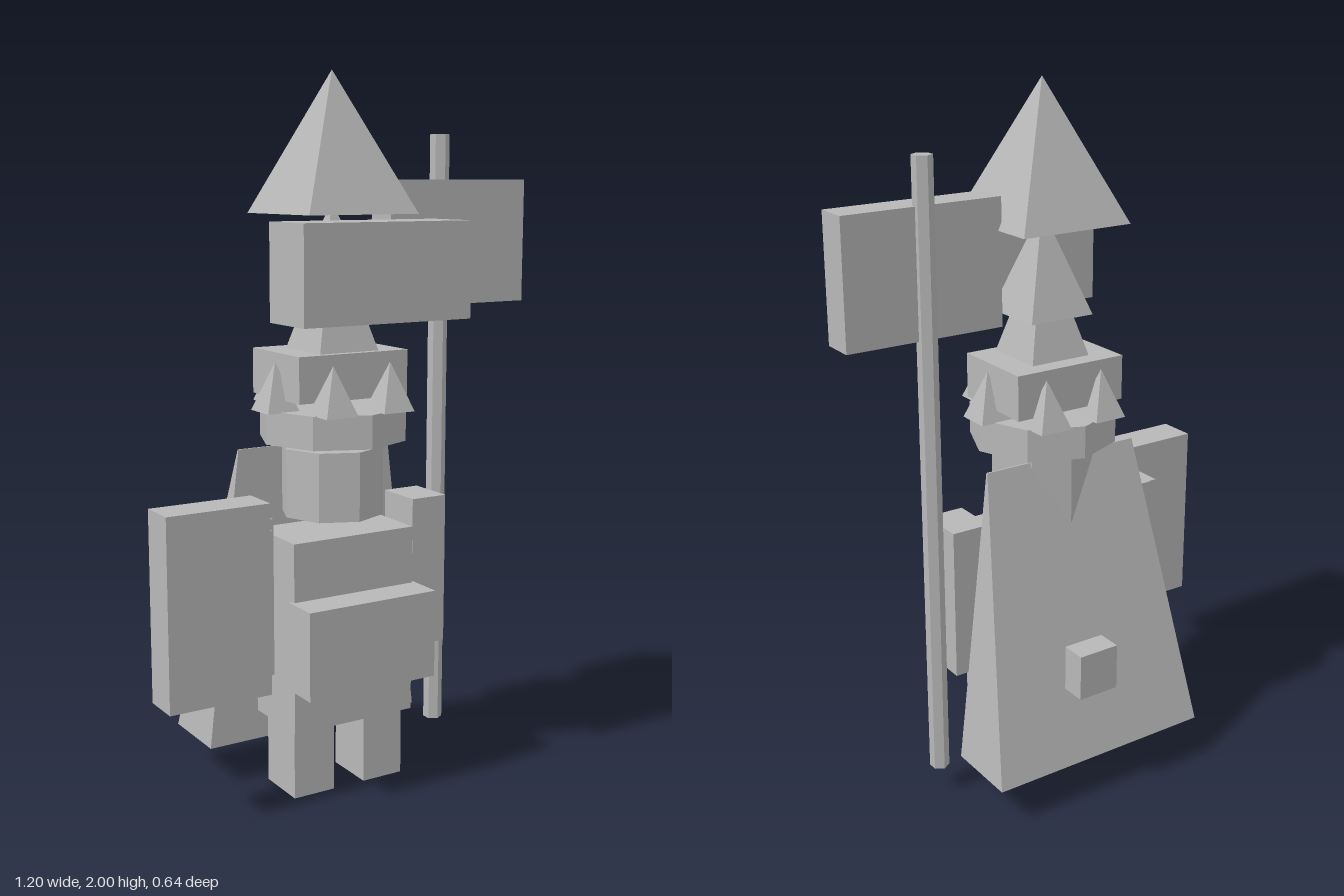
import * as THREE from 'three';

export function createModel() {
  const model = new THREE.Group();
  const grey = new THREE.MeshStandardMaterial({ color: 0xb8b8b8, flatShading: true });
  grey.name = 'stone grey';
  const CX = -0.021, CZ = 0.027; // axis of the figure

  const add = (name, geometry, x, y, z) => {
    const mesh = new THREE.Mesh(geometry, grey);
    mesh.name = name;
    mesh.position.set(x, y, z);
    model.add(mesh);
    return mesh;
  };
  // Box given by its limits on each axis
  const box = (name, [x0, x1], [y0, y1], [z0, z1]) =>
    add(name, new THREE.BoxGeometry(x1 - x0, y1 - y0, z1 - z0), (x0 + x1) / 2, (y0 + y1) / 2, (z0 + z1) / 2);
  // Square pyramid with sides along the axes
  const pyramid = (name, x, z, y0, y1, half) =>
    add(name, new THREE.ConeGeometry(half * Math.SQRT2, y1 - y0, 4).rotateY(Math.PI / 4), x, (y0 + y1) / 2, z);
  const prism = (name, radius, sides, x, z, y0, y1) =>
    add(name, new THREE.CylinderGeometry(radius, radius, y1 - y0, sides), x, (y0 + y1) / 2, z);

  // Legs and arms, mirrored about the body axis
  for (const [side, s] of [['left', 1], ['right', -1]]) {
    const leg = CX + s * 0.114, arm = CX + s * 0.285;
    box(side + 'Leg', [leg - 0.064, leg + 0.064], [0, 0.205], [-0.034, 0.12]);
    box(side + 'Arm', [arm - 0.057, arm + 0.057], [0.369, 0.809], [-0.047, 0.098]);
  }

  // Body
  box('torso', [-0.215, 0.17], [0.204, 0.745], [-0.066, 0.151]);
  box('bellyPlate', [-0.225, 0.18], [0.332, 0.581], [0.141, 0.252]);
  prism('head', 0.147, 8, CX, CZ, 0.788, 0.981);

  // Crown band with six spikes
  prism('crownBand', 0.21, 8, CX, CZ, 1.0, 1.093);
  for (let i = 0; i < 6; i++) {
    const a = i * Math.PI / 3;
    pyramid('crownSpike', CX + 0.18 * Math.cos(a), CZ + 0.18 * Math.sin(a), 1.091, 1.225, 0.049);
  }

  // Stacked headdress
  box('headdressBlock', [-0.191, 0.154], [1.122, 1.249], [-0.119, 0.141]);
  pyramid('lowerTier', CX, CZ, 1.249, 1.58, 0.093);
  pyramid('middleTier', CX, CZ, 1.366, 1.652, 0.1);
  pyramid('topTier', CX, CZ, 1.62, 2, 0.17);
  box('frontBlock', [-0.279, 0.234], [1.345, 1.605], [0.143, 0.32]);

  // Staff with a broad blade
  prism('staff', 0.028, 6, 0.37, -0.021, 0.082, 1.838);
  box('staffBlade', [0.139, 0.602], [1.36, 1.71], [-0.021, 0.077]);

  // Shield and its grip
  box('shield', [-0.602, -0.302], [0.347, 0.875], [0.07, 0.18]);
  box('shieldGrip', [-0.414, -0.277], [0.387, 0.79], [-0.007, 0.143]);

  // Cape: a wedge narrowing to a thin edge at the shoulders
  const cape = new THREE.BoxGeometry(1, 1, 1);
  const p = cape.attributes.position;
  for (let i = 0; i < p.count; i++) {
    const top = p.getY(i) > 0, back = p.getZ(i) < 0;
    p.setXYZ(i, Math.sign(p.getX(i)) * (top ? 0.246 : 0.346), top ? 0.974 : 0.117,
      back ? (top ? -0.072 : -0.286) : -0.067);
  }
  cape.computeVertexNormals();
  add('cape', cape, CX, 0, 0);
  box('capeClasp', [-0.039, 0.085], [0.347, 0.48], [-0.32, -0.246]);

  return model;
}
